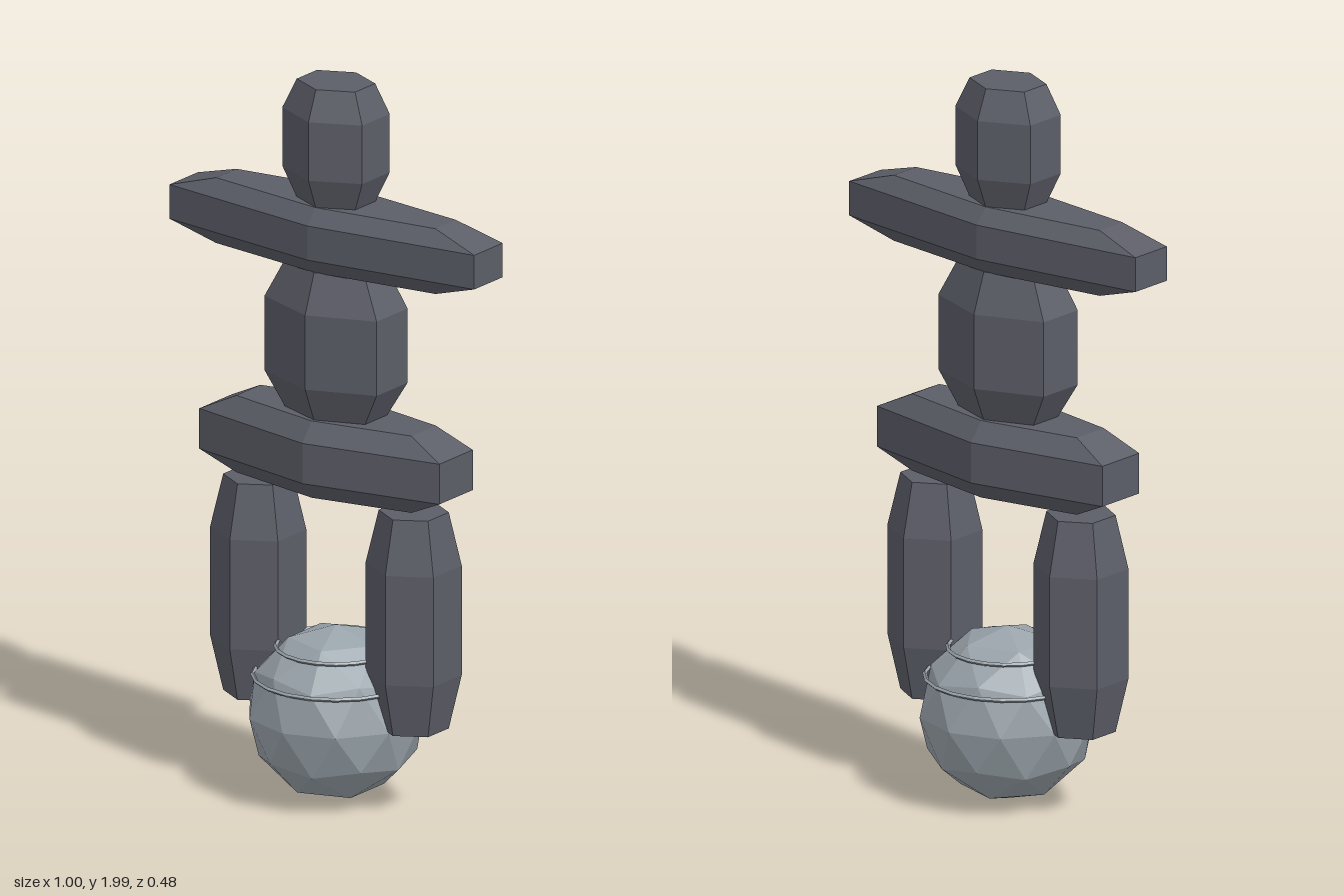
import * as THREE from 'three';

const stone = new THREE.MeshStandardMaterial({ color: 0x5c5e68, flatShading: true });
stone.name = 'dark stone';
const granite = new THREE.MeshStandardMaterial({ color: 0x99a3aa, flatShading: true });
granite.name = 'pale granite';

// Six-sided stone with chamfered ends: half width, half depth, four heights, end scale
function makeStone(name, halfX, halfZ, [y0, y1, y2, y3], end = 0.73, x = 0) {
  const profile = [[0, y0], [end, y0], [1, y1], [1, y2], [end, y3], [0, y3]]
    .map(([r, y]) => new THREE.Vector2(r, y));
  const geometry = new THREE.LatheGeometry(profile, 6);
  geometry.scale(halfX / Math.cos(Math.PI / 6), 1, halfZ);
  const mesh = new THREE.Mesh(geometry, stone);
  mesh.name = name;
  mesh.position.x = x;
  return mesh;
}

export function createModel() {
  const model = new THREE.Group();
  model.name = 'stackedStoneFigure';

  // Stacked stones
  model.add(
    makeStone('head', 0.131, 0.123, [1.67, 1.755, 1.918, 2.0]),
    makeStone('armStone', 0.5, 0.127, [1.49, 1.535, 1.63, 1.672], 0.72),
    makeStone('torso', 0.184, 0.138, [1.08, 1.177, 1.384, 1.492], 0.71),
    makeStone('hipStone', 0.394, 0.149, [0.868, 0.918, 1.03, 1.082], 0.73)
  );
  for (const side of [1, -1]) {
    model.add(makeStone(side > 0 ? 'leftLeg' : 'rightLeg', 0.111, 0.127,
      [0.25, 0.4, 0.705, 0.852], 0.73, side * 0.255));
  }

  // Faceted boulder, turned so that one corner points straight up
  const ball = new THREE.IcosahedronGeometry(0.24, 1);
  ball.rotateZ(Math.atan(2 / (1 + Math.sqrt(5))));
  ball.rotateY(Math.PI);
  const boulder = new THREE.Mesh(ball, granite);
  boulder.name = 'boulder';
  boulder.position.y = 0.246;
  model.add(boulder);

  // Thin bands around the boulder
  for (const [name, radius, y] of [['lowerBand', 0.221, 0.348], ['upperBand', 0.16, 0.427]]) {
    const geometry = new THREE.TorusGeometry(radius, 0.006, 4, 20);
    geometry.rotateX(Math.PI / 2);
    const band = new THREE.Mesh(geometry, granite);
    band.name = name;
    band.position.y = y;
    model.add(band);
  }
  return model;
}
